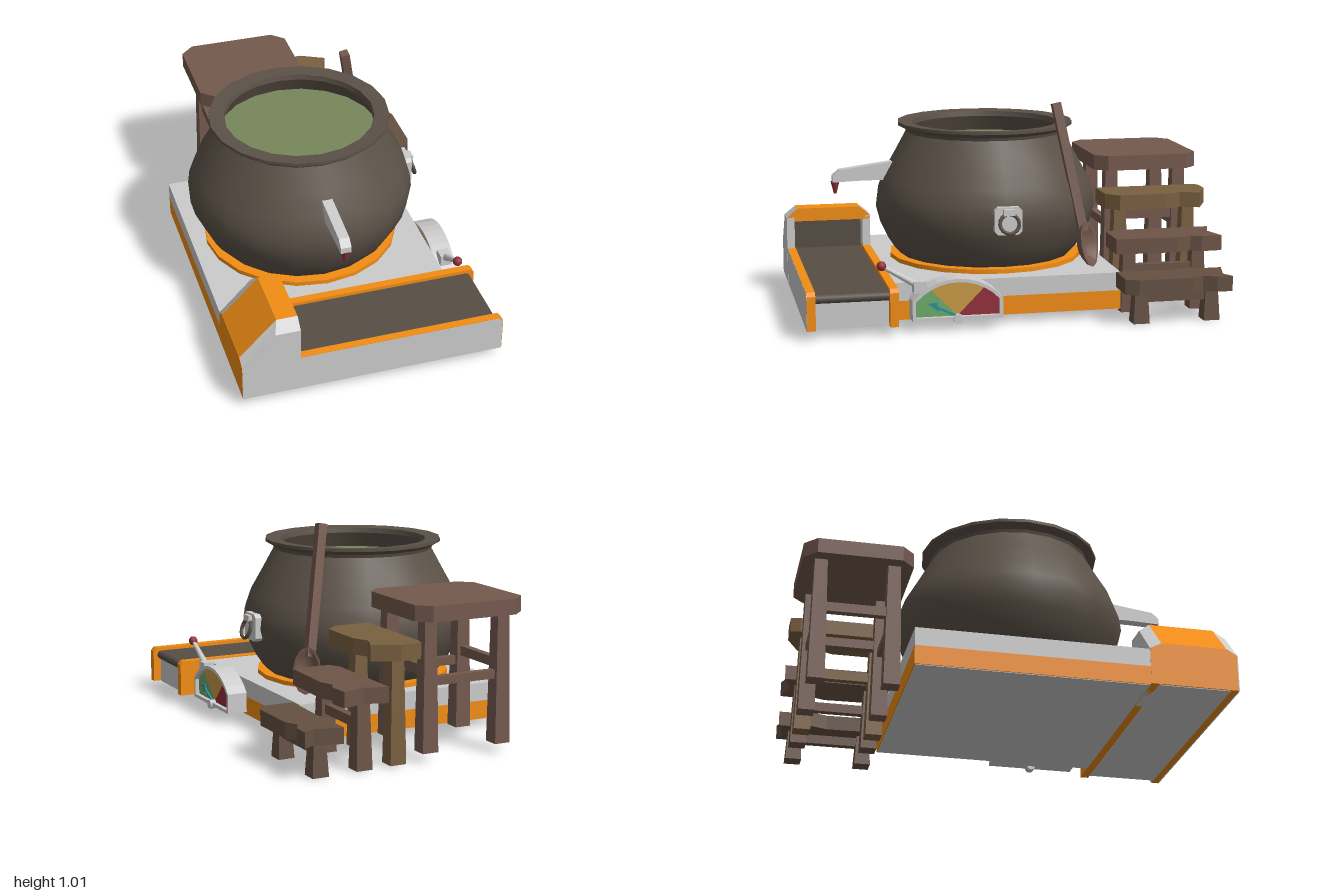
import * as THREE from 'three';
import { toCreasedNormals } from 'three/addons/utils/BufferGeometryUtils.js';

const mat = (color, flat = false) =>
  new THREE.MeshStandardMaterial({ color, flatShading: flat, side: THREE.DoubleSide });
const grey = mat(0xcccccc), orange = mat(0xf28d14), iron = mat(0x5b5147), belt = mat(0x574e45);
const red = mat(0x94303a), green = mat(0x6dab6d), yellow = mat(0xc79a45), teal = mat(0x2f8f9c);
const woods = [0x74594e, 0x7a6040, 0x6e5448, 0x655143].map(c => mat(c));
const soup = mat(0x78875a);

function add(parent, name, geo, material, x = 0, y = 0, z = 0) {
  const m = new THREE.Mesh(geo, material);
  m.name = name;
  m.position.set(x, y, z);
  parent.add(m);
  return m;
}

// box given by its minimum and maximum corners
function block(parent, name, material, x0, x1, y0, y1, z0, z1) {
  return add(parent, name, new THREE.BoxGeometry(x1 - x0, y1 - y0, z1 - z0), material,
    (x0 + x1) / 2, (y0 + y1) / 2, (z0 + z1) / 2);
}

const shapeOf = pts => new THREE.Shape(pts.map(p => new THREE.Vector2(p[0], p[1])));
const slab = (shape, depth) => new THREE.ExtrudeGeometry(shape, { depth, bevelEnabled: false, curveSegments: 10 });
// outline in (-z, y), thickness along +x
const sideSlab = (shape, depth) => slab(shape, depth).rotateY(Math.PI / 2);

// flat quads, each given by four corners
function quads(list) {
  const pos = [];
  for (const [a, b, c, d] of list) for (const p of [a, b, c, a, c, d]) pos.push(...p);
  const g = new THREE.BufferGeometry();
  g.setAttribute('position', new THREE.Float32BufferAttribute(pos, 3));
  g.computeVertexNormals();
  return g;
}

// straight bar between two points
function bar(parent, name, material, a, b, r0, r1, sides = 4) {
  const p = new THREE.Vector3(...a), q = new THREE.Vector3(...b), d = q.clone().sub(p);
  const geo = toCreasedNormals(new THREE.CylinderGeometry(r1, r0, d.length(), sides).rotateY(Math.PI / 4), 0.9);
  const m = add(parent, name, geo, material);
  m.position.copy(p).add(q).multiplyScalar(0.5);
  m.quaternion.setFromUnitVectors(new THREE.Vector3(0, 1, 0), d.normalize());
  return m;
}

function buildPot(g) {
  const lathe = pts => toCreasedNormals(
    new THREE.LatheGeometry(pts.map(p => new THREE.Vector2(...p)), 20), 0.6);
  const pot = new THREE.Group();
  pot.name = 'cauldron';
  pot.position.set(-0.115, 0, 0.04);
  g.add(pot);
  add(pot, 'potBody', lathe([[0, 0.22], [0.41, 0.22], [0.455, 0.27], [0.487, 0.32], [0.525, 0.4], [0.546, 0.48],
    [0.537, 0.55], [0.512, 0.62], [0.45, 0.73], [0.39, 0.84], [0.395, 0.855], [0.42, 0.868], [0.432, 0.875],
    [0.432, 0.89], [0.36, 0.885], [0.355, 0.86], [0.4, 0.76]]), iron);
  add(pot, 'soup', new THREE.CircleGeometry(0.39, 20).rotateX(-Math.PI / 2), soup, 0, 0.785, 0);
  add(pot, 'potRing', lathe([[0.38, 0.215], [0.475, 0.215], [0.475, 0.238], [0.38, 0.238]]), orange);

  // spout with its red tip
  const spout = shapeOf([[-0.45, 0.71], [-0.5, 0.7], [-0.765, 0.665], [-0.8, 0.635], [-0.8, 0.605],
    [-0.66, 0.61], [-0.45, 0.61]]);
  add(g, 'spout', sideSlab(spout, 0.05), grey, -0.14, 0, 0);
  add(g, 'spoutTip', new THREE.CylinderGeometry(0.022, 0.007, 0.06, 8), red, -0.115, 0.578, 0.785);

  // ring handle on its chamfered plate
  const w = 0.066, c = 0.05;
  const plate = shapeOf([[-w, -c], [-c, -w], [c, -w], [w, -c], [w, c], [c, w], [-c, w], [-w, c]]);
  add(g, 'handlePlate', sideSlab(plate, 0.05), grey, 0.395, 0.487, 0.037);
  block(g, 'handleHinge', grey, 0.44, 0.465, 0.515, 0.545, 0.01, 0.065);
  const ring = add(g, 'handleRing', new THREE.TorusGeometry(0.046, 0.009, 6, 16).rotateY(Math.PI / 2),
    iron, 0.465, 0.478, 0.037);
  ring.rotation.z = 0.3;
}

function buildBase(g) {
  block(g, 'baseLower', orange, -0.66, 0.445, 0.04, 0.13, -0.51, 0.58);
  block(g, 'baseUpper', grey, -0.66, 0.445, 0.13, 0.217, -0.51, 0.58);
  block(g, 'basePlate', grey, -0.655, 0.44, 0.037, 0.045, -0.505, 0.575);
}

function buildConveyor(g) {
  const v = new THREE.Group();
  v.name = 'conveyor';
  g.add(v);
  block(v, 'conveyorBody', grey, -0.655, 0.55, 0.042, 0.18, 0.62, 0.96);
  block(v, 'beltTop', belt, -0.62, 0.545, 0.18, 0.206, 0.62, 0.96);
  add(v, 'beltRoller', new THREE.CylinderGeometry(0.022, 0.022, 0.34, 12).rotateX(Math.PI / 2),
    belt, 0.547, 0.184, 0.79);
  const rail = shapeOf([[-0.66, 0.045], [0.59, 0.045], [0.59, 0.205], [0.575, 0.223], [-0.66, 0.223]]);
  for (const z of [0.58, 0.96]) add(v, 'rail', slab(rail, 0.04), orange, 0, 0, z);
  add(v, 'railPanel', slab(rail, 0.004), grey, -0.002, -0.002, 0.997);

  // hood: grey cheeks and bevels, orange roof and ends
  const cheek = shapeOf([[-0.66, 0.045], [-0.388, 0.045], [-0.388, 0.38], [-0.505, 0.38], [-0.66, 0.22]]);
  for (const z of [0.58, 0.963]) add(v, 'hoodCheek', slab(cheek, 0.039), grey, 0, 0, z);
  const low = [[-0.66, 0.22], [-0.505, 0.38], [-0.388, 0.38]];
  const top = [[-0.66, 0.25], [-0.487, 0.425], [-0.388, 0.425]];
  const roof = [], bevel = [];
  for (let i = 0; i < 2; i++) {
    roof.push([[...top[i], 0.95], [...top[i + 1], 0.95], [...top[i + 1], 0.635], [...top[i], 0.635]]);
    bevel.push([[...low[i], 1], [...low[i + 1], 1], [...top[i + 1], 0.95], [...top[i], 0.95]]);
    bevel.push([[...top[i], 0.635], [...top[i + 1], 0.635], [...low[i + 1], 0.58], [...low[i], 0.58]]);
  }
  add(v, 'hoodRoof', quads(roof), orange);
  add(v, 'hoodBevels', quads(bevel), grey);
  // end shape shared by lintel and rear wall, in (-z, y)
  const end = y => shapeOf([[-1, y], [-0.58, y], [-0.58, Math.max(y, 0.38)], [-0.635, 0.425], [-0.95, 0.425], [-1, 0.38]]);
  add(v, 'hoodLintel', sideSlab(end(0.36), 0.03), orange, -0.418, 0, 0);
  add(v, 'hoodRear', sideSlab(shapeOf([[-1, 0.045], [-0.58, 0.045], [-0.58, 0.22], [-0.635, 0.25],
    [-0.95, 0.25], [-1, 0.22]]), 0.01), orange, -0.662, 0, 0);
  block(v, 'hoodInterior', belt, -0.48, -0.47, 0.19, 0.4, 0.62, 0.963);
}

function buildGauge(g) {
  const a = new THREE.Group();
  a.name = 'gauge';
  a.position.set(0.445, 0.052, 0.297);
  g.add(a);
  // domed outline with a given margin
  const outline = m => {
    const pts = [[-0.213 + m, m], [0.213 - m, m]], R = 0.281 - m, t0 = Math.asin((0.213 - m) / R);
    for (let i = 0; i <= 10; i++) {
      const t = t0 * (1 - i / 5);
      pts.push([R * Math.sin(t), R * Math.cos(t) - 0.086]);
    }
    return pts;
  };
  const frame = shapeOf(outline(0));
  frame.holes.push(shapeOf(outline(0.016)));
  add(a, 'gaugeFrame', sideSlab(frame, 0.1), grey);
  add(a, 'gaugeBack', sideSlab(shapeOf(outline(0)), 0.06), grey);
  const arc = outline(0.016).slice(2), hub = [0, 0.016];
  [[red, [[0.197, 0.016], ...arc.slice(0, 3)]], [yellow, arc.slice(2, 9)],
    [green, [...arc.slice(8), [-0.197, 0.016]]]].forEach(([m, pts]) =>
    add(a, 'dialSector', sideSlab(shapeOf([hub, ...pts]), 0.08), m));
  const needle = shapeOf([[0, 0.008], [-0.09, 0.052], [-0.083, 0.037], [-0.14, 0.08], [-0.095, 0.085],
    [-0.097, 0.067], [-0.005, 0.022]]);
  add(a, 'needle', sideSlab(needle, 0.008), teal, 0.084, 0, 0);
  add(a, 'needleHub', new THREE.CylinderGeometry(0.023, 0.023, 0.05, 8).rotateZ(Math.PI / 2), grey, 0.085, 0.005, 0);

  // lever
  block(g, 'leverMount', grey, 0.465, 0.52, 0.18, 0.235, 0.44, 0.5);
  bar(g, 'lever', grey, [0.492, 0.21, 0.47], [0.492, 0.305, 0.635], 0.018, 0.01, 8);
  add(g, 'leverKnob', new THREE.SphereGeometry(0.023, 10, 8), red, 0.492, 0.311, 0.645);
}

function buildSteps(g) {
  // plank outlines in (x, z), top height, leg positions, leg foot height
  const steps = [
    [[[-0.465, -0.94], [-0.4, -1], [0.03, -1], [0.09, -0.94], [0.09, -0.54], [0.04, -0.48], [-0.4, -0.48], [-0.465, -0.54]],
      0.72, [-0.37, 0.01], 0.042],
    [[[0.075, -0.95], [0.09, -1], [0.19, -1], [0.31, -0.94], [0.275, -0.85], [0.31, -0.77], [0.31, -0.54], [0.25, -0.48], [0.075, -0.48]],
      0.563, [0.175], 0.008],
    [[[0.25, -1], [0.355, -0.965], [0.47, -1], [0.475, -0.9], [0.45, -0.85], [0.475, -0.78], [0.465, -0.48], [0.28, -0.48], [0.25, -0.54]],
      0.382, [0.345], 0.004],
    [[[0.47, -1], [0.6, -0.965], [0.657, -0.995], [0.657, -0.92], [0.625, -0.86], [0.657, -0.8], [0.657, -0.54], [0.63, -0.48],
      [0.465, -0.48], [0.475, -0.76], [0.445, -0.85], [0.47, -0.9]], 0.225, [0.56], 0]];
  steps.forEach(([pts, top, legs, foot], i) => {
    const s = new THREE.Group(), wood = woods[i], mid = foot + (top - foot) * 0.55;
    s.name = 'step' + (i + 1);
    g.add(s);
    add(s, 'plank', slab(shapeOf(pts.map(p => [p[0], -p[1]])), 0.073).rotateX(-Math.PI / 2), wood, 0, top - 0.073, 0);
    for (const x of legs) {
      for (const z of [-0.57, -0.915]) bar(s, 'leg', wood, [x, foot, z], [x, top - 0.06, z], 0.056, 0.042);
      block(s, 'stretcher', wood, x - 0.018, x + 0.018, mid - 0.025, mid + 0.02, -0.915, -0.57);
    }
    if (legs.length > 1) for (const z of [-0.57, -0.915])
      block(s, 'crossStretcher', wood, legs[0], legs[1], mid - 0.07, mid - 0.03, z - 0.018, z + 0.018);
  });
}

function buildSpoon(g) {
  const s = new THREE.Group();
  s.name = 'spoon';
  g.add(s);
  bar(s, 'spoonHandle', woods[0], [0.318, 0.4, -0.355], [0.2, 1.005, -0.245], 0.03, 0.03);
  // dished bowl opening away from the pot
  const bowl = new THREE.LatheGeometry([[0, -1], [0.6, -0.8], [0.95, -0.2], [1, 0], [0.85, 0], [0.5, -0.45], [0, -0.6]]
    .map(p => new THREE.Vector2(...p)), 12).rotateX(Math.PI / 2).scale(0.07, 0.112, 0.055);
  const b = add(s, 'spoonBowl', toCreasedNormals(bowl, 0.7), woods[0], 0.345, 0.34, -0.38);
  b.rotation.set(0, Math.PI * 0.74, 0);
  b.rotateX(-0.2);
}

export function createModel() {
  const g = new THREE.Group();
  g.name = 'cauldronMachine';
  [buildBase, buildPot, buildConveyor, buildGauge, buildSteps, buildSpoon].forEach(f => f(g));
  return g;
}
